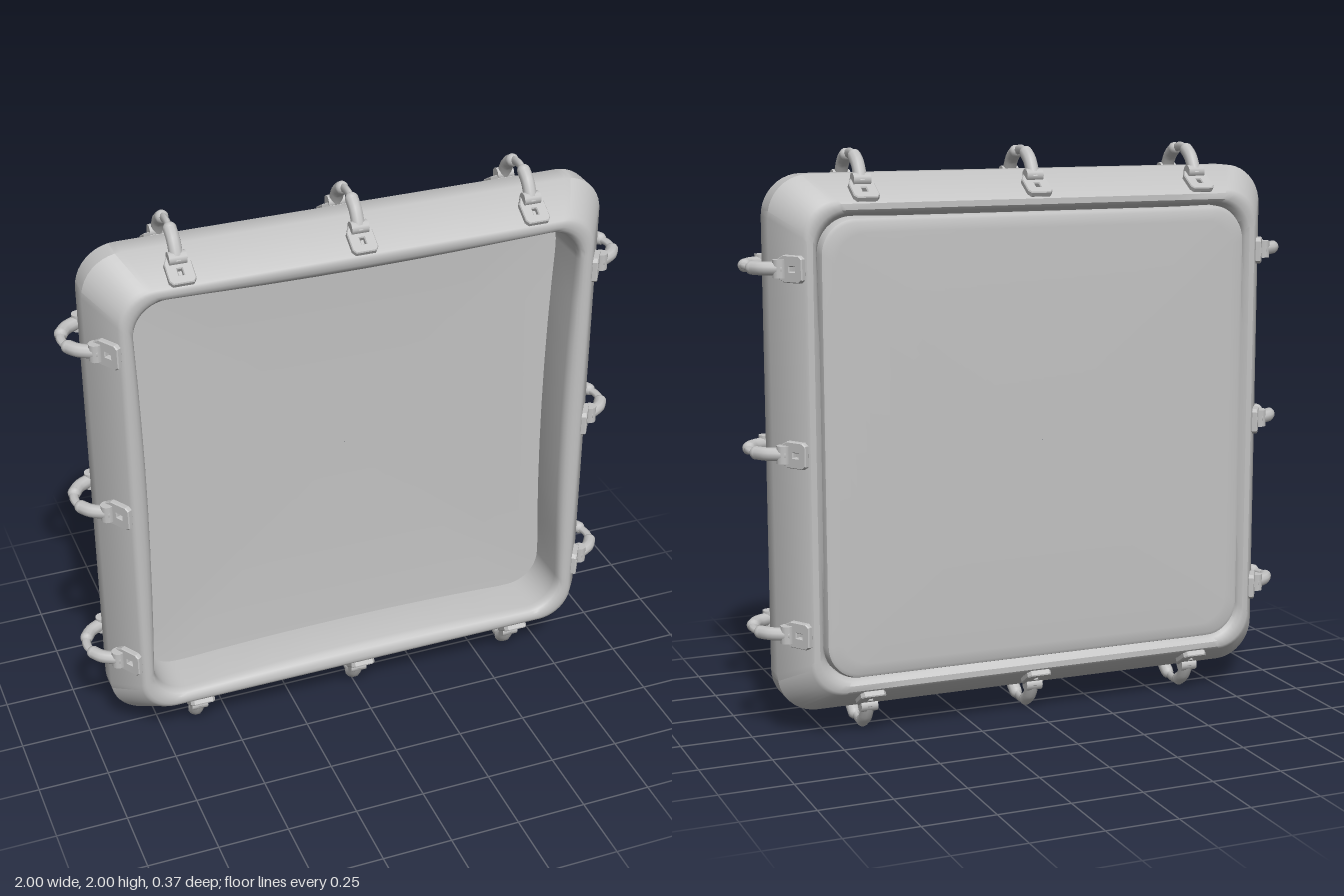
import * as THREE from 'three';
import { toCreasedNormals, mergeVertices } from 'three/addons/utils/BufferGeometryUtils.js';

const CORNER_STEPS = 10;
const SIDE_STEPS = 8;

// Counter-clockwise rounded square of half size h and corner radius r;
// the middle of each side bows inwards by bow
function roundedLoop(h, r, z, bow = 0) {
  const pts = [];
  const flat = h - r;
  for (let q = 0; q < 4; q++) {
    const c = Math.cos(q * Math.PI / 2), s = Math.sin(q * Math.PI / 2);
    const put = (x, y) => pts.push([c * x - s * y, s * x + c * y, z]);
    for (let i = 0; i < SIDE_STEPS; i++) {
      const t = 2 * i / SIDE_STEPS - 1;
      put(h - bow * (1 - t * t), flat * t);
    }
    for (let i = 0; i < CORNER_STEPS; i++) {
      const a = i / CORNER_STEPS * Math.PI / 2;
      put(flat + r * Math.cos(a), flat + r * Math.sin(a));
    }
  }
  return pts;
}

// Skin a list of [half size, corner radius, z, bow] sections
function loft(profile, closed) {
  const loops = profile.map(section => roundedLoop(...section));
  const n = loops[0].length, index = [];
  const rows = closed ? loops.length : loops.length - 1;
  for (let i = 0; i < rows; i++) {
    const k = (i + 1) % loops.length;
    for (let j = 0; j < n; j++) {
      const m = (j + 1) % n;
      index.push(i * n + j, i * n + m, k * n + m, i * n + j, k * n + m, k * n + j);
    }
  }
  const geo = new THREE.BufferGeometry();
  geo.setAttribute('position', new THREE.Float32BufferAttribute(loops.flat(2), 3));
  geo.setIndex(index);
  return toCreasedNormals(mergeVertices(geo, 1e-5), 0.6);
}

export function createModel() {
  const grey = new THREE.MeshStandardMaterial({ color: 0xc2c2c2 });
  const model = new THREE.Group();
  const body = new THREE.Group();
  body.name = 'framedPanel';
  body.position.y = 1;
  model.add(body);

  const add = (parent, geo, name) => {
    const mesh = new THREE.Mesh(geo, grey);
    mesh.name = name;
    parent.add(mesh);
    return mesh;
  };

  // Chamfered square frame with a rounded inner lip and bowed inner walls
  add(body, loft([
    [0.917, 0.14, -0.04], [0.917, 0.14, 0.04],
    [0.838, 0.12, 0.168], [0.831, 0.12, 0.176], [0.822, 0.12, 0.18],
    [0.81, 0.12, 0.18], [0.8, 0.12, 0.177, 0.004], [0.792, 0.12, 0.17, 0.009],
    [0.787, 0.12, 0.158, 0.014], [0.785, 0.12, 0.14, 0.017],
    [0.785, 0.12, -0.03, 0.019], [0.785, 0.12, -0.15, 0.008],
    [0.794, 0.12, -0.168], [0.806, 0.12, -0.177], [0.826, 0.12, -0.177], [0.836, 0.12, -0.17],
  ], true), 'frame');

  // Panel: slightly domed behind, slightly dished in front
  const panel = [];
  const spans = [0.001, 0.2, 0.4, 0.55, 0.66, 0.73, 0.765];
  for (const h of spans) panel.push([h, 0.14 * h, -0.19 + 0.008 * (h / 0.765) ** 3]);
  panel.push([0.776, 0.115, -0.177], [0.782, 0.118, -0.16], [0.783, 0.118, -0.012]);
  for (const h of [...spans].reverse()) panel.push([h, 0.14 * h, -0.026 + 0.014 * (h / 0.783) ** 3]);
  add(body, loft(panel, false), 'panel');

  // Clamp plate outline with a slot
  const plateShape = new THREE.Shape();
  plateShape.moveTo(-0.033, -0.077);
  plateShape.lineTo(0.033, -0.077);
  plateShape.lineTo(0.042, -0.065);
  plateShape.lineTo(0.042, 0);
  plateShape.lineTo(0.028, 0.026);
  plateShape.lineTo(-0.028, 0.026);
  plateShape.lineTo(-0.042, 0);
  plateShape.lineTo(-0.042, -0.065);
  plateShape.closePath();
  const slot = new THREE.Path();
  slot.moveTo(-0.011, -0.052);
  slot.lineTo(-0.011, -0.022);
  slot.lineTo(0.011, -0.022);
  slot.lineTo(0.011, -0.052);
  slot.closePath();
  plateShape.holes.push(slot);
  const plateGeo = new THREE.ExtrudeGeometry(plateShape, {
    depth: 0.014, bevelEnabled: true, bevelThickness: 0.004, bevelSize: 0.003, bevelSegments: 1,
  });

  // Arm and link paths run over the outer edge
  const curve = pts => new THREE.CatmullRomCurve3(pts.map(([y, z]) => new THREE.Vector3(0, y, z)));
  const armGeo = new THREE.TubeGeometry(
    curve([[0.89, 0.112], [0.922, 0.097], [0.952, 0.077], [0.974, 0.046]]), 8, 0.023, 10);
  const linkGeo = new THREE.TubeGeometry(
    curve([[0.97, 0.05], [0.981, 0.025], [0.984, 0], [0.981, -0.025], [0.97, -0.05]]), 10, 0.016, 8);
  linkGeo.scale(0.7, 1, 1);
  const knuckleGeo = new THREE.CylinderGeometry(0.023, 0.023, 0.06, 12).rotateZ(Math.PI / 2);
  const collarGeo = new THREE.SphereGeometry(0.023, 10, 8);

  const chamferTilt = -1.015;
  function makeClamp() {
    const clamp = new THREE.Group();
    clamp.name = 'clamp';
    for (let s = 0; s < 2; s++) {
      const half = new THREE.Group();
      half.name = s ? 'backClampHalf' : 'frontClampHalf';
      half.rotation.y = s * Math.PI;
      const plate = add(half, plateGeo, 'clampPlate');
      plate.position.set(0, 0.875, 0.108);
      plate.rotation.x = chamferTilt;
      add(half, knuckleGeo, 'clampKnuckle').position.set(0, 0.9, 0.108);
      add(half, armGeo, 'clampArm');
      add(half, collarGeo, 'armTip').position.set(0, 0.974, 0.046);
      clamp.add(half);
    }
    add(clamp, linkGeo, 'clampLink');
    return clamp;
  }

  // Three clamps on each of the four sides
  for (let side = 0; side < 4; side++) {
    const row = new THREE.Group();
    row.name = 'clampRow';
    row.rotation.z = side * Math.PI / 2;
    for (const x of [-0.617, 0, 0.617]) {
      const clamp = makeClamp();
      clamp.position.x = x;
      row.add(clamp);
    }
    body.add(row);
  }
  return model;
}
